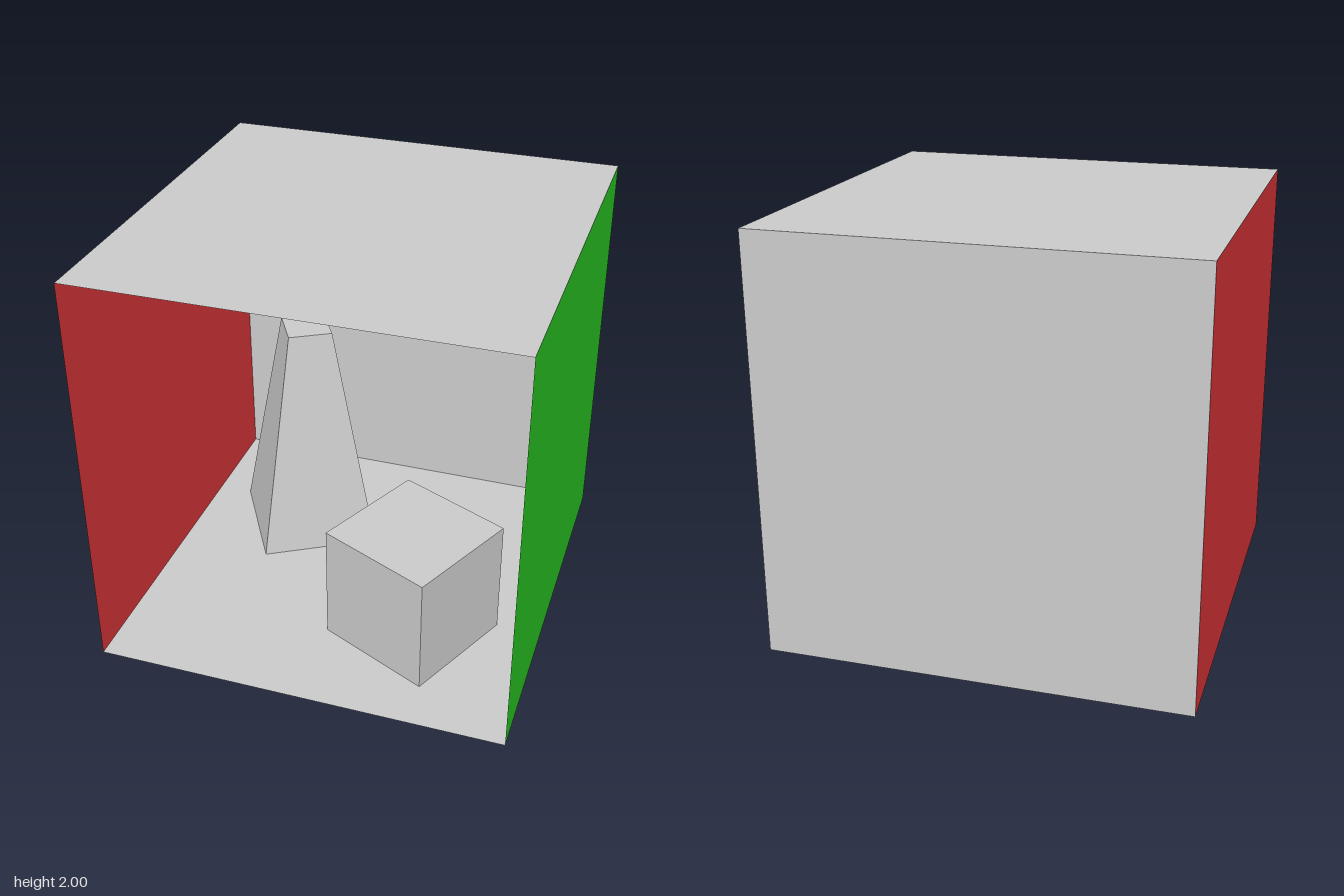
import * as THREE from 'three';

const HALF = Math.PI / 2;

function material(color) {
  return new THREE.MeshStandardMaterial({ color, side: THREE.DoubleSide, flatShading: true });
}

export function createModel() {
  const room = new THREE.Group();
  room.name = 'openRoom';
  const grey = material(0xcccccc);
  const red = material(0xe5383b);
  const green = material(0x29cd24);

  // Zero-thickness panels facing the room's interior; the front stays open
  const panels = [
    ['floor', grey, [0, 0, 0], [-HALF, 0, 0]],
    ['ceiling', grey, [0, 2, 0], [HALF, 0, 0]],
    ['backWall', grey, [0, 1, -1], [0, 0, 0]],
    ['redWall', red, [-1, 1, 0], [0, HALF, 0]],
    ['greenWall', green, [1, 1, 0], [0, -HALF, 0]],
  ];
  for (const [name, mat, position, rotation] of panels) {
    const panel = new THREE.Mesh(new THREE.PlaneGeometry(2, 2), mat);
    panel.name = name;
    panel.position.set(...position);
    panel.rotation.set(...rotation);
    room.add(panel);
  }

  // Square block standing on the floor, its top scaled by the taper
  function addBlock(name, side, height, taper, x, z, turn) {
    const geometry = new THREE.BoxGeometry(side, height, side);
    geometry.translate(0, height / 2, 0);
    const p = geometry.attributes.position;
    for (let i = 0; i < p.count; i++) {
      if (p.getY(i) > height / 2) {
        p.setX(i, p.getX(i) * taper);
        p.setZ(i, p.getZ(i) * taper);
      }
    }
    geometry.computeVertexNormals();
    const block = new THREE.Mesh(geometry, grey);
    block.name = name;
    block.position.set(x, 0, z);
    block.rotation.y = turn;
    room.add(block);
  }

  addBlock('tallTaperedBlock', 0.6, 1.2, 0.373, -0.417, -0.372, 0.523);
  addBlock('shortBlock', 0.6, 0.6, 1, 0.383, 0.36, -0.43);

  return room;
}
